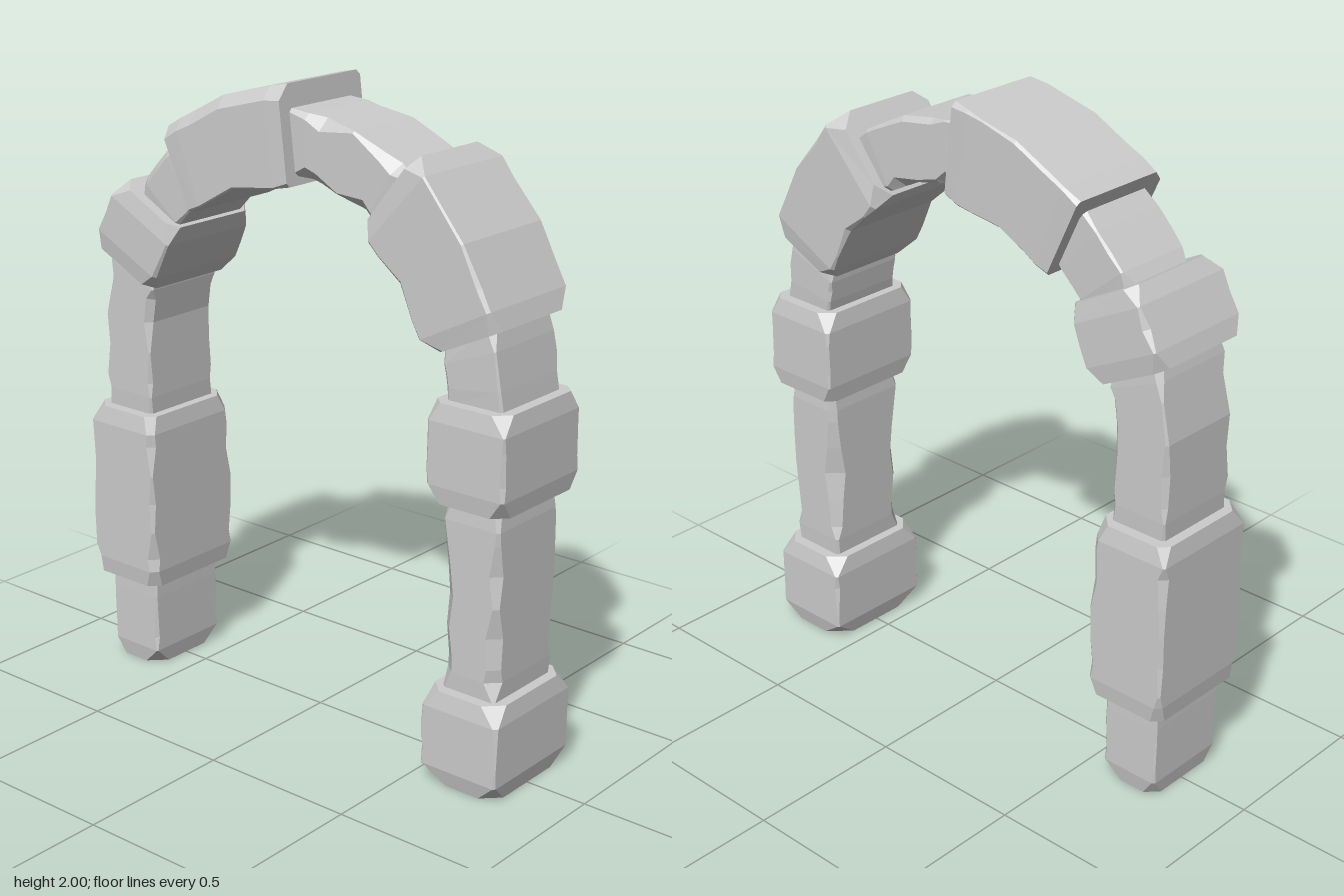
import * as THREE from 'three';

// Inner and outer reach from the arch axis, on the legs and on the curve, and half depth
const WIDE = { leg: [0.543, 0.812], arch: [0.555, 0.821], depth: 0.187 };
const NARROW = { leg: [0.58, 0.773], arch: [0.583, 0.78], depth: 0.145 };
const SPRING = 1.15; // height of the centre of the curve

// Cross-section line of a leg at height y
function legRow(kind, side, y) {
  const [inner, outer] = kind.leg;
  return { outer: new THREE.Vector2(side * outer, y), inner: new THREE.Vector2(side * inner, y) };
}

// Cross-section line of the curve; splay turns the inner end, lift raises the outer end
function archRow(kind, degrees, splay = 0, lift = 0) {
  const polar = (radius, deg) => {
    const a = THREE.MathUtils.degToRad(deg);
    return new THREE.Vector2(radius * Math.cos(a), SPRING + radius * Math.sin(a));
  };
  return { outer: polar(kind.arch[1] + lift, degrees), inner: polar(kind.arch[0], degrees + splay) };
}

const lerpRow = (a, b, t) => ({
  outer: a.outer.clone().lerp(b.outer, t),
  inner: a.inner.clone().lerp(b.inner, t),
});
const middle = (row) => row.outer.clone().add(row.inner).multiplyScalar(0.5);

function seeded(seed) {
  let s = seed;
  return () => (s = (s * 16807) % 2147483647) / 2147483647;
}

// Splits the rows into finer cross-sections, with one close to each end for the clipped corners
function refine(rows) {
  const out = [rows[0]];
  for (let i = 0; i < rows.length - 1; i++) {
    const length = middle(rows[i]).distanceTo(middle(rows[i + 1]));
    const n = Math.max(1, Math.round(length / 0.1));
    const steps = [];
    if (i === 0) steps.push(0.055 / length);
    for (let k = 1; k < n; k++) steps.push(k / n);
    if (i === rows.length - 2) steps.push(1 - 0.055 / length);
    steps.push(1);
    steps.sort((p, q) => p - q);
    for (const t of steps) out.push(lerpRow(rows[i], rows[i + 1], t));
  }
  return out;
}

// An eight-sided section: a rectangle whose four corners are each cut
function section({ outer, inner }, depth, [fo, fi, bi, bo]) {
  const width = outer.distanceTo(inner);
  const point = (u, z) => {
    const p = outer.clone().lerp(inner, u / width);
    return [p.x, p.y, z];
  };
  return [
    point(0, depth - fo), point(fo, depth),
    point(width - fi, depth), point(width, depth - fi),
    point(width, -depth + bi), point(width - bi, -depth),
    point(bo, -depth), point(0, -depth + bo),
  ].flat();
}

// start, end: corner clipping at the two ends; rough: size of the chips on the long edges
// bevel: extra cut along the front outer edge
function stoneGeometry(rows, depth, { start, end, rough, bevel = 0 }, random) {
  const fine = refine(rows), last = fine.length - 1;
  const positions = [], index = [];
  fine.forEach((row, s) => {
    const clip = s === 0 ? start : s === last ? end : 0;
    const cuts = [bevel, 0, 0, 0].map((extra) => extra + (clip
      ? clip * (0.6 + 0.6 * random())
      : 0.004 + rough * random() ** 1.5));
    // The end faces are drawn in slightly for a worn rim
    const inset = clip * 0.2;
    const k = inset / row.outer.distanceTo(row.inner);
    const drawnIn = {
      outer: row.outer.clone().lerp(row.inner, k),
      inner: row.inner.clone().lerp(row.outer, k),
    };
    positions.push(...section(drawnIn, depth - inset, cuts));
  });
  for (let s = 0; s < last; s++) {
    for (let k = 0; k < 8; k++) {
      const a = s * 8 + k, b = s * 8 + (k + 1) % 8;
      index.push(a, b, b + 8, a, b + 8, a + 8);
    }
  }
  for (let k = 1; k < 7; k++) {
    index.push(0, k + 1, k);
    index.push(last * 8, last * 8 + k, last * 8 + k + 1);
  }
  const geometry = new THREE.BufferGeometry();
  geometry.setAttribute('position', new THREE.Float32BufferAttribute(positions, 3));
  geometry.setIndex(index);
  const flat = geometry.toNonIndexed();
  flat.computeVertexNormals();
  return flat;
}

export function createModel() {
  const group = new THREE.Group();
  group.name = 'stoneArch';
  const material = new THREE.MeshStandardMaterial({ color: 0xcccccc, flatShading: true });
  const random = seeded(4211);

  const addStone = (name, kind, rows, wear) => {
    const mesh = new THREE.Mesh(stoneGeometry(rows, kind.depth, wear, random), material);
    mesh.name = name;
    group.add(mesh);
  };
  const addLegStone = (name, kind, side, from, to, wear) =>
    addStone(name, kind, [legRow(kind, side, from), legRow(kind, side, to)], wear);

  // Right leg, from the ground up
  addLegStone('rightFootStone', NARROW, -1, 0, 0.3, { start: 0.045, end: 0.006, rough: 0.008 });
  addLegStone('rightPillarStone', WIDE, -1, 0.3, 0.88, { start: 0.03, end: 0.045, rough: 0.03 });
  addStone('rightSpringerStone', NARROW,
    [legRow(NARROW, -1, 0.88), legRow(NARROW, -1, 1.18), archRow(NARROW, 159, 3)],
    { start: 0.01, end: 0.02, rough: 0.02 });

  // Curve, from right to left; the wide stones have squared ends
  addStone('rightShoulderStone', WIDE, [archRow(WIDE, 161, 3.5), archRow(WIDE, 144, -4)],
    { start: 0.04, end: 0.05, rough: 0.014 });
  addStone('rightHaunchStone', NARROW, [archRow(NARROW, 145), archRow(NARROW, 126)],
    { start: 0.03, end: 0.01, rough: 0.008, bevel: 0.02 });
  addStone('crownStone', WIDE,
    [archRow(WIDE, 125, 5), archRow(WIDE, 107, 2, 0.005), archRow(WIDE, 90.3, -3.5, 0.03)],
    { start: 0.012, end: 0.015, rough: 0.006, bevel: 0.03 });
  addStone('leftHaunchStone', NARROW,
    [archRow(NARROW, 90, -2), archRow(NARROW, 72), archRow(NARROW, 55)],
    { start: 0.01, end: 0.02, rough: 0.04 });
  addStone('leftShoulderStone', WIDE,
    [archRow(WIDE, 56, 2.5, 0.037), archRow(WIDE, 37, 1.5), archRow(WIDE, 19, -3)],
    { start: 0.055, end: 0.045, rough: 0.012 });

  // Left leg, from the curve down
  addStone('leftSpringerStone', NARROW, [archRow(NARROW, 20, -3), legRow(NARROW, 1, 1.17)],
    { start: 0.02, end: 0.01, rough: 0.012 });
  addLegStone('leftCapStone', WIDE, 1, 1.18, 0.88, { start: 0.045, end: 0.035, rough: 0.01 });
  addLegStone('leftPillarStone', NARROW, 1, 0.88, 0.3, { start: 0.02, end: 0.01, rough: 0.045 });
  addLegStone('leftFootStone', WIDE, 1, 0.3, 0, { start: 0.045, end: 0.065, rough: 0.01 });
  return group;
}
